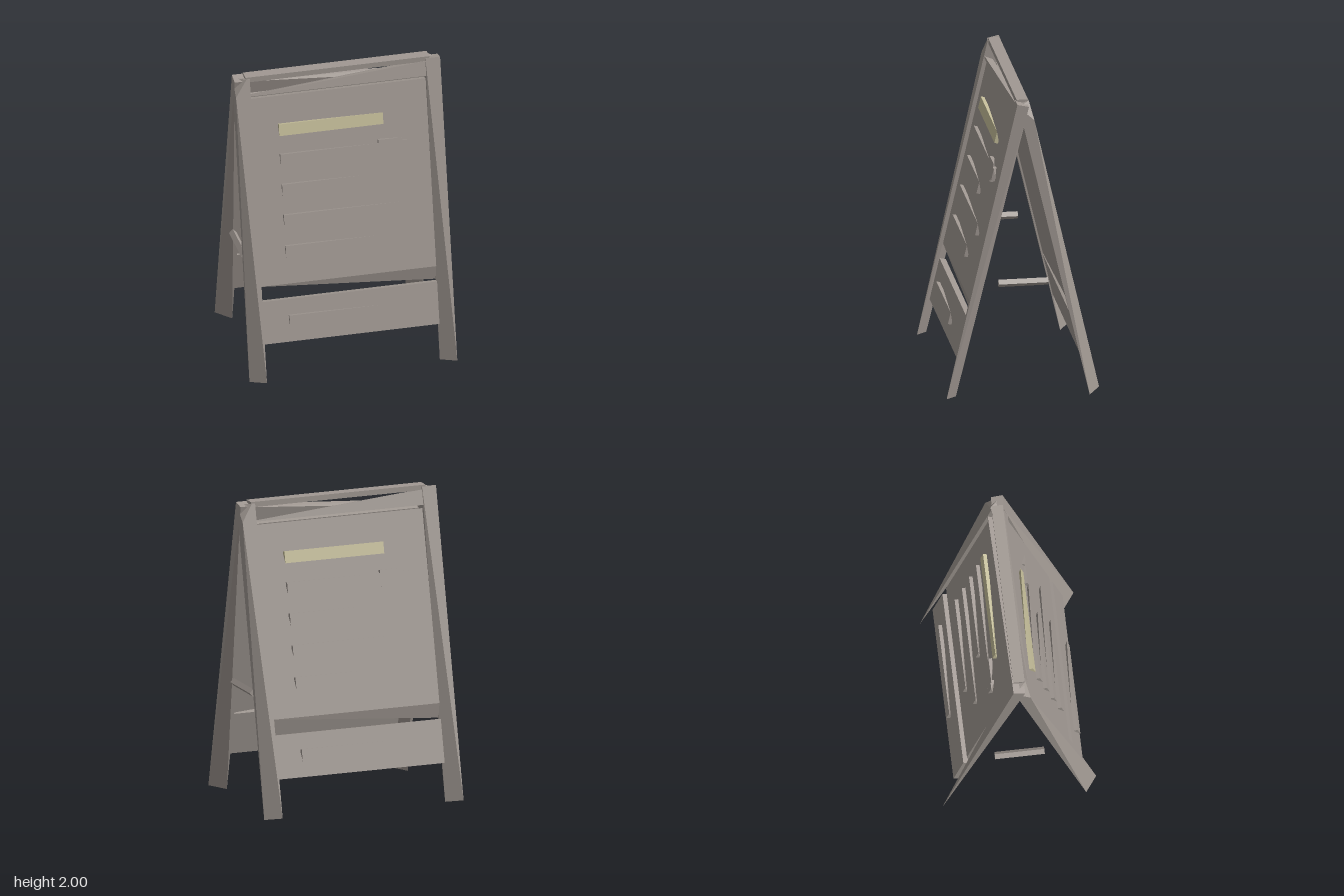
import * as THREE from 'three';
import { ConvexGeometry } from 'three/addons/geometries/ConvexGeometry.js';

export function createModel() {
  const wood = new THREE.MeshStandardMaterial({ color: 0xa09892 });
  wood.name = 'weatheredWood';
  const cream = new THREE.MeshStandardMaterial({ color: 0xc4bd99 });
  cream.name = 'creamPaint';

  // Point on the leaning front plane, sunk inward by depth d
  const P = (x, y, d) => new THREE.Vector3(x, y - d * 0.227, 0.5047 - 0.2323 * y - d * 0.974);

  const hull = (parent, name, points, material = wood) => {
    const mesh = new THREE.Mesh(new ConvexGeometry(points), material);
    mesh.name = name;
    parent.add(mesh);
  };

  // Raised slat whose back tapers to two opposite corners
  const slat = (parent, name, x0, x1, y0, y1, material) => hull(parent, name, [
    P(x0, y0, 0.002), P(x1, y0, 0.002), P(x0, y1, 0.002), P(x1, y1, 0.002),
    P(x0, y1, 0.034), P(x1, y0, 0.034),
  ], material);

  function makeSide(name) {
    const side = new THREE.Group();
    side.name = name;
    const inX = 0.578, outX = 0.675, depth = 0.077;

    // Legs: full section at the top, narrowing to a diagonal blade at the foot
    hull(side, 'leftLeg', [
      P(outX, 0.02, 0), P(inX, 0.02, depth),
      P(outX, 1.99, 0), P(inX, 1.99, 0), P(outX, 1.99, depth), P(inX, 1.99, depth),
    ]);
    hull(side, 'rightLeg', [
      P(-inX, 0.02, 0), P(-outX, 0.02, depth),
      P(-outX, 1.88, 0), P(-0.6, 1.99, 0), P(-inX, 1.99, 0),
      P(-outX, 1.99, depth), P(-inX, 1.99, depth),
    ]);

    // Main panel with a slanting lower back edge
    hull(side, 'mainPanel', [
      P(-inX, 0.637, 0.026), P(inX, 0.637, 0.026), P(-inX, 1.855, 0.026), P(inX, 1.855, 0.026),
      P(-inX, 0.64, 0.066), P(inX, 0.546, 0.066), P(-inX, 1.855, 0.066), P(inX, 1.855, 0.066),
    ]);

    // Lower board
    const board = [];
    for (const x of [-inX, inX]) for (const y of [0.263, 0.538]) for (const d of [0.026, 0.068]) board.push(P(x, y, d));
    hull(side, 'lowerBoard', board);

    // Wedge shaped upper rail
    hull(side, 'upperRail', [
      P(-inX, 1.876, 0.004), P(inX, 1.876, 0.004), P(-inX, 1.876, 0.06), P(inX, 1.876, 0.06),
      P(-inX, 1.885, 0.004), P(inX, 1.972, 0.004), P(inX, 1.972, 0.06),
    ]);

    // Slats: right end, bottom, top
    slat(side, 'headingSlat', -0.405, 0.28, 1.6, 1.675, cream);
    [[0.24, 1.4, 1.48], [0.12, 1.207, 1.285], [0.36, 1.01, 1.087], [0.2, 0.812, 0.887], [0.2, 0.36, 0.437]]
      .forEach(([x1, y0, y1], i) => slat(side, 'slat' + (i + 1), -0.405, x1, y0, y1));

    // Stepped block at the end of the second slat
    slat(side, 'endBlock', 0.24, 0.4, 1.383, 1.5);
    slat(side, 'endTab', 0.38, 0.44, 1.4, 1.48);

    // Diamond section brace between the legs
    const brace = new THREE.Mesh(new THREE.CylinderGeometry(0.025, 0.025, 0.32, 4).toNonIndexed(), wood);
    brace.geometry.computeVertexNormals();
    brace.name = 'sideBrace';
    brace.rotation.x = Math.PI / 2;
    brace.position.set(0.64, 0.775, 0);
    side.add(brace);
    return side;
  }

  const model = new THREE.Group();
  model.name = 'aFrameSign';
  const front = makeSide('frontSide');
  const back = makeSide('backSide');
  back.rotation.y = Math.PI;
  model.add(front, back);

  // Ridge beam
  const beam = new THREE.Mesh(new THREE.BoxGeometry(1.21, 0.035, 0.074), wood);
  beam.name = 'ridgeBeam';
  beam.position.y = 1.9825;
  model.add(beam);
  return model;
}
